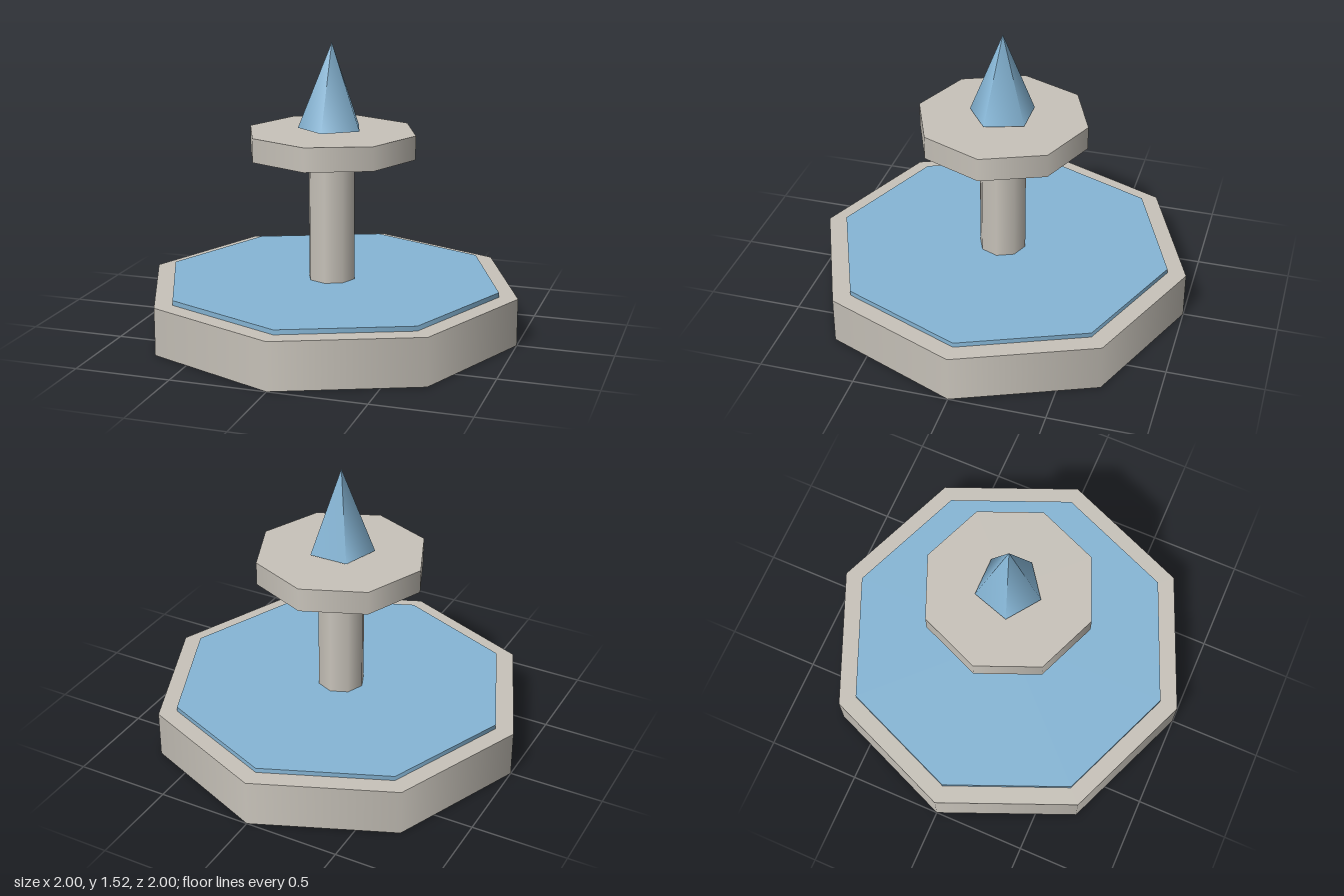
import * as THREE from 'three';

export function createModel() {
  const model = new THREE.Group();
  const stone = new THREE.MeshStandardMaterial({ name: 'paleStone', color: 0xc8c3ba });
  const water = new THREE.MeshStandardMaterial({ name: 'waterBlue', color: 0x86b6d6 });

  // Adds a part standing between two heights
  function add(name, geometry, material, bottom, top) {
    const mesh = new THREE.Mesh(geometry, material);
    mesh.name = name;
    mesh.position.y = (bottom + top) / 2;
    model.add(mesh);
  }

  // Adds an eight-sided, smooth-shaded drum
  function addDrum(name, radius, bottom, top, material) {
    add(name, new THREE.CylinderGeometry(radius, radius, top - bottom, 8), material, bottom, top);
  }

  // Basin with its slightly raised water surface
  addDrum('basin', 1, 0, 0.25, stone);
  addDrum('poolWater', 0.9, 0.225, 0.275, water);

  // Pillar and upper bowl
  addDrum('pillar', 0.125, 0.25, 0.95, stone);
  addDrum('upperBowl', 0.45, 0.94, 1.065, stone);

  // Five-sided water jet hovering just above the bowl
  add('waterJet', new THREE.ConeGeometry(0.175, 0.445, 5), water, 1.08, 1.525);

  return model;
}
